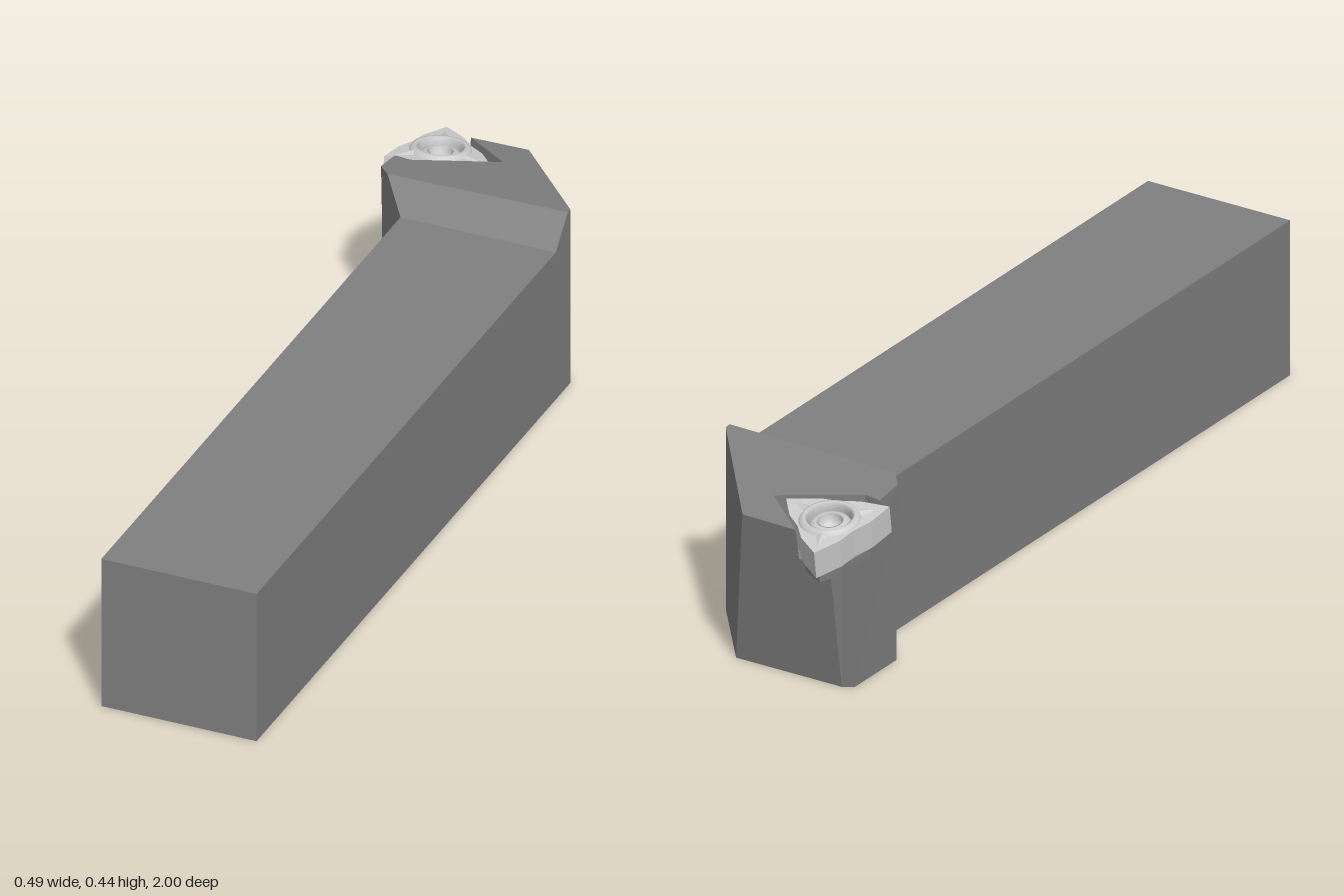
import * as THREE from 'three';

const steel = new THREE.MeshStandardMaterial({ color: 0x808080, flatShading: true });
const carbide = new THREE.MeshStandardMaterial({ color: 0xcccccc, flatShading: true });
const smooth = new THREE.MeshStandardMaterial({ color: 0xcccccc, side: THREE.DoubleSide });

const SHANK_H = 0.372, FLOOR = 0.077;

// Sloping top plane of the head
const topY = (x, z) => 0.435 + 0.016 * x + 0.16 * (z + 0.665);

function add(parent, name, geometry, material) {
  const mesh = new THREE.Mesh(geometry, material);
  mesh.name = name;
  parent.add(mesh);
  return mesh;
}

// Solid between two loops of equal length, counter-clockwise seen from above
function prism(bottom, top) {
  const n = bottom.length, index = [];
  const caps = loop => THREE.ShapeUtils.triangulateShape(loop.map(p => new THREE.Vector2(p.x, -p.z)), []);
  for (const [a, b, c] of caps(top)) index.push(n + a, n + b, n + c);
  for (const [a, b, c] of caps(bottom)) index.push(a, c, b);
  for (let i = 0; i < n; i++) {
    const j = (i + 1) % n;
    index.push(i, j, n + j, i, n + j, n + i);
  }
  const g = new THREE.BufferGeometry().setFromPoints([...bottom, ...top]);
  g.setIndex(index);
  const flat = g.toNonIndexed();
  flat.computeVertexNormals();
  return flat;
}

const onTop = (x, z) => new THREE.Vector3(x, topY(x, z), z);
const onFloor = (x, z) => new THREE.Vector3(x, topY(x, z) - FLOOR, z);

// Triangular outline with three pointed cutting teeth
function toothedShape(tip, flank, waist) {
  const pts = [];
  for (const deg of [108, 228, 348]) {
    for (const [r, d] of [[flank, -28], [tip, 0], [flank, 28], [waist, 60]]) {
      const a = THREE.MathUtils.degToRad(deg + d);
      pts.push(new THREE.Vector2(r * Math.cos(a), r * Math.sin(a)));
    }
  }
  return new THREE.Shape(pts);
}

function slab(shape, y0, y1) {
  const g = new THREE.ExtrudeGeometry(shape, { depth: y1 - y0, bevelEnabled: false, curveSegments: 24 });
  return g.rotateX(-Math.PI / 2).translate(0, y0, 0);
}

export function createModel() {
  const model = new THREE.Group();
  model.name = 'turningToolHolder';

  // Square shank
  const shank = add(model, 'shank', new THREE.BoxGeometry(0.37, SHANK_H, 1.6), steel);
  shank.position.set(0.055, SHANK_H / 2, 0.2);

  // Lower head, tapering in towards the base
  const rampLeft = new THREE.Vector3(-0.13, SHANK_H, -0.6);
  const rampRight = new THREE.Vector3(0.24, SHANK_H, -0.6);
  const base = [[-0.13, -0.6], [0.24, -0.6], [0.24, -0.68], [0.085, -0.876], [-0.19, -0.876], [-0.214, -0.862], [-0.214, -0.695]]
    .map(([x, z]) => new THREE.Vector3(x, 0, z));
  const floorLoop = [rampLeft, rampRight, onFloor(0.24, -0.68), onFloor(0.033, -0.936),
    onFloor(-0.198, -0.936), onFloor(-0.22, -0.918), onFloor(-0.219, -0.699)];
  add(model, 'headBody', prism(base, floorLoop), steel);

  // Upper head with ramp and the notched insert pocket
  const notch = [[0.0, -0.857], [-0.18, -0.766], [-0.22, -0.772]];
  const upperBase = [rampLeft, rampRight, onFloor(0.24, -0.68), onFloor(0.033, -0.936), onFloor(-0.118, -0.936),
    ...notch.map(p => onFloor(...p)), onFloor(-0.219, -0.699)];
  const upperTop = [onTop(-0.19, -0.665), onTop(0.24, -0.665), onTop(0.24, -0.68), onTop(0.02, -0.95), onTop(-0.118, -0.95),
    ...notch.map(p => onTop(...p)), onTop(-0.221, -0.7)];
  add(model, 'pocketWall', prism(upperBase, upperTop), steel);

  // Cutting insert assembly, tilted with the top of the head
  const tool = new THREE.Group();
  tool.name = 'insertAssembly';
  tool.position.set(-0.155, topY(-0.155, -0.87) - 0.008, -0.87);
  tool.rotation.set(-0.16, 0, 0.016);
  model.add(tool);

  const insertShape = toothedShape(0.135, 0.092, 0.073);
  insertShape.holes.push(new THREE.Path().absarc(0, 0, 0.05, 0, Math.PI * 2, true));
  add(tool, 'insert', slab(insertShape, -0.066, 0), carbide);
  add(tool, 'shim', slab(toothedShape(0.112, 0.085, 0.07), -0.092, -0.072), steel);

  // Raised rim around the screw hole
  const rim = [[0.05, -0.01], [0.05, 0.006], [0.056, 0.01], [0.064, 0.008], [0.069, 0]];
  add(tool, 'rim', new THREE.LatheGeometry(rim.map(p => new THREE.Vector2(...p)), 32), smooth);

  // Chip breaker ridge running out along each tooth
  for (const deg of [108, 228, 348]) {
    const ridge = add(tool, 'chipBreaker', new THREE.ConeGeometry(0.014, 0.045, 4), carbide);
    const a = THREE.MathUtils.degToRad(deg);
    ridge.scale.z = 0.5;
    ridge.rotation.set(-Math.PI / 2, 0, a - Math.PI / 2);
    ridge.position.set(0.086 * Math.cos(a), 0, -0.086 * Math.sin(a));
  }

  // Clamping screw with a socket
  const screw = [[0, -0.03], [0.026, -0.03], [0.026, -0.004], [0.032, -0.002], [0.042, -0.006], [0.05, -0.018], [0.05, -0.066]];
  add(tool, 'screw', new THREE.LatheGeometry(screw.map(p => new THREE.Vector2(...p)), 32), smooth);

  return model;
}
